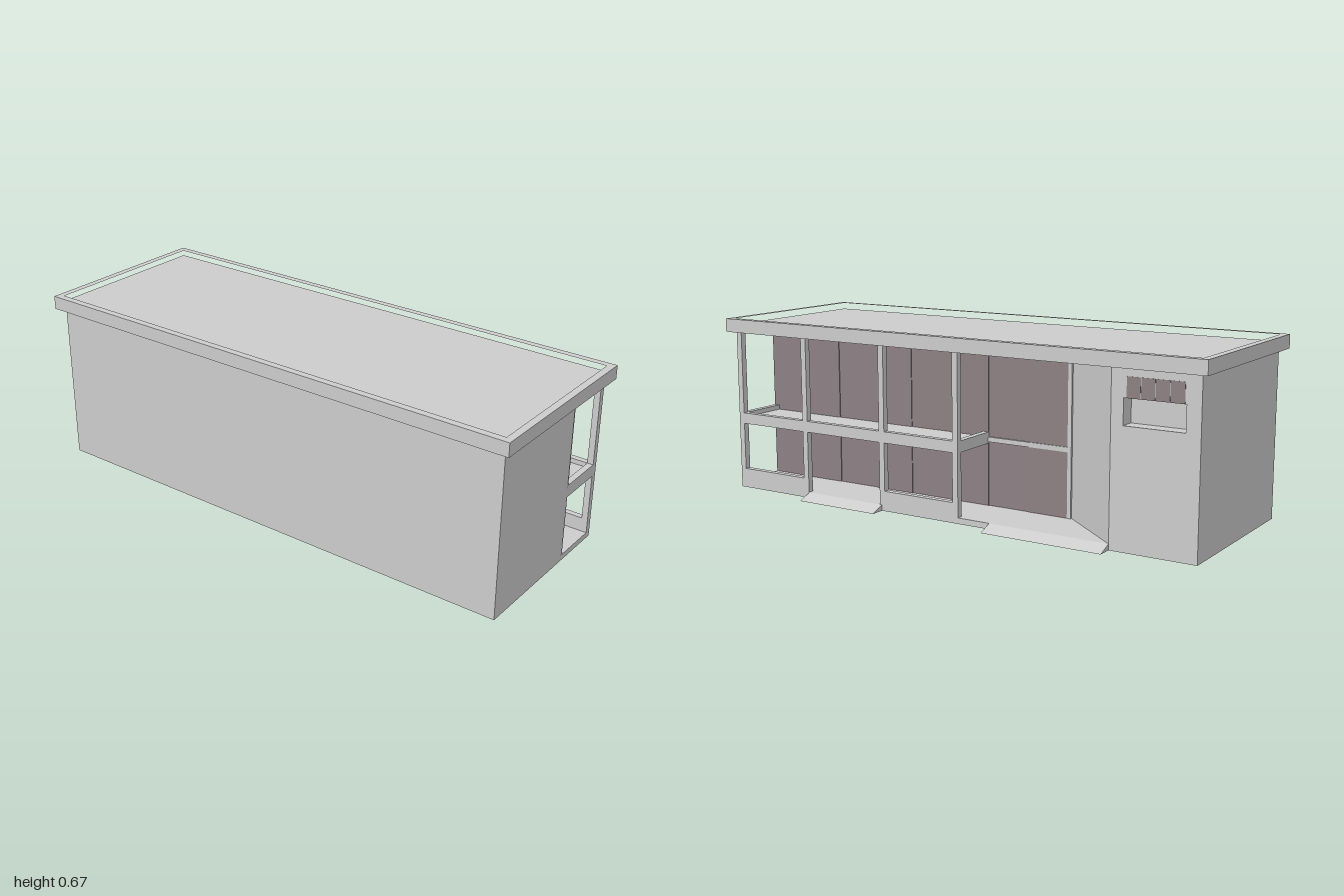
import * as THREE from 'three';

const grey = new THREE.MeshStandardMaterial({ color: 0xcccccc });
const glass = new THREE.MeshStandardMaterial({ color: 0x8c8083 });

export function createModel() {
  const model = new THREE.Group();

  const add = (name, geometry, material = grey) => {
    const mesh = new THREE.Mesh(geometry, material);
    mesh.name = name;
    model.add(mesh);
    return mesh;
  };
  // Box given by its extents on each axis
  const box = (name, [x0, x1], [y0, y1], [z0, z1], material) => {
    const g = new THREE.BoxGeometry(x1 - x0, y1 - y0, z1 - z0);
    g.translate((x0 + x1) / 2, (y0 + y1) / 2, (z0 + z1) / 2);
    return add(name, g, material);
  };
  // Plan outline of [x, z] points raised from y0 to y1
  const plan = (name, points, y0, y1, hole) => {
    const toVec = ([x, z]) => new THREE.Vector2(x, -z);
    const shape = new THREE.Shape(points.map(toVec));
    if (hole) shape.holes.push(new THREE.Path(hole.map(toVec)));
    const g = new THREE.ExtrudeGeometry(shape, { depth: y1 - y0, bevelEnabled: false });
    g.rotateX(-Math.PI / 2).translate(0, y0, 0);
    return add(name, g);
  };
  const rect = (x0, x1, z0, z1) => [[x0, z0], [x1, z0], [x1, z1], [x0, z1]];

  const L = -0.345, R = 0.317, END = 0.972;
  const FLOOR = 0.022, TOP = 0.617, GLASS = 0.108, T = 0.023;

  // Ground slab
  box('groundSlab', [L, R], [0, FLOOR], [-END, END]);

  // Enclosed rooms with the splayed entrance wall; a niche is cut under the small window
  const room = (niche) => [
    [L, -END], [R, -END],
    ...(niche ? [[R, -0.92], [R - 0.057, -0.92], [R - 0.057, -0.7], [R, -0.7]] : []),
    [R, -0.655], [GLASS, -0.4], [GLASS, END], [L, END],
  ];
  plan('lowerRooms', room(false), FLOOR, 0.425);
  plan('nicheRooms', room(true), 0.425, 0.517);
  plan('upperRooms', room(false), 0.517, TOP);

  // Roof deck and parapet
  box('roofDeck', [-0.36, 0.33], [TOP, 0.642], [-0.985, 0.985]);
  plan('roofParapet', rect(-0.375, 0.345, -1, 1), TOP, 0.668, rect(-0.348, 0.318, -0.973, 0.973));

  // Sliding glass panes on both floors, every other one set slightly forward
  const joints = [0.972, 0.8, 0.633, 0.46, 0.288, 0.113, -0.055, -0.225, -0.385];
  for (const [y0, y1] of [[FLOOR, 0.262], [0.28, TOP]]) {
    for (let i = 0; i < joints.length - 1; i++) {
      const front = GLASS + (i % 2 ? 0.006 : 0.003);
      box('glassPane', [GLASS - 0.005, front], [y0, y1], [joints[i + 1], joints[i]], glass);
    }
  }
  box('glassEndPost', [GLASS - 0.005, 0.116], [FLOOR, TOP], [-0.4, -0.385]);
  box('floorEdgeBand', [GLASS - 0.005, 0.118], [0.262, 0.28], [-0.4, -0.055]);

  // Balcony slab with a raised rim on its three open sides
  const balconyEnd = -0.056;
  box('balconySlab', [GLASS, R - 0.01], [0.262, 0.28], [balconyEnd + 0.01, END - 0.01]);
  box('balconyRimSide', [R - T, R], [0.256, 0.298], [balconyEnd, END]);
  box('balconyRimFront', [GLASS, R - T], [0.252, 0.298], [END - T, END]);
  box('balconyRimBack', [GLASS, R - T], [0.256, 0.298], [balconyEnd, balconyEnd + T]);

  // Columns along the open side
  for (const z of [END - T / 2, 0.64, 0.278, balconyEnd + T / 2]) {
    for (const [y0, y1] of [[FLOOR, 0.256], [0.298, TOP]]) {
      box('column', [R - T, R], [y0, y1], [z - T / 2, z + T / 2]);
    }
  }

  // Low walls in the two bays without a ramp
  for (const [z0, z1] of [[0.65, END - T], [balconyEnd + T, 0.267]]) {
    box('lowWall', [R - T, R], [FLOOR, 0.075], [z0, z1]);
  }

  // Entrance ramps
  for (const [z0, z1] of [[0.28, 0.627], [-0.655, -0.187]]) {
    const wedge = new THREE.Shape([
      new THREE.Vector2(R, 0), new THREE.Vector2(0.372, 0), new THREE.Vector2(R, FLOOR),
    ]);
    const g = new THREE.ExtrudeGeometry(wedge, { depth: z1 - z0, bevelEnabled: false });
    add('ramp', g.translate(0, 0, z0));
  }

  // Small high window of four panes above the niche
  for (let i = 0; i < 4; i++) {
    const z = -0.915 + i * 0.0515;
    box('smallWindowPane', [R - 0.004, R + 0.001], [0.517, 0.588], [z, z + 0.0495], glass);
  }

  return model;
}
